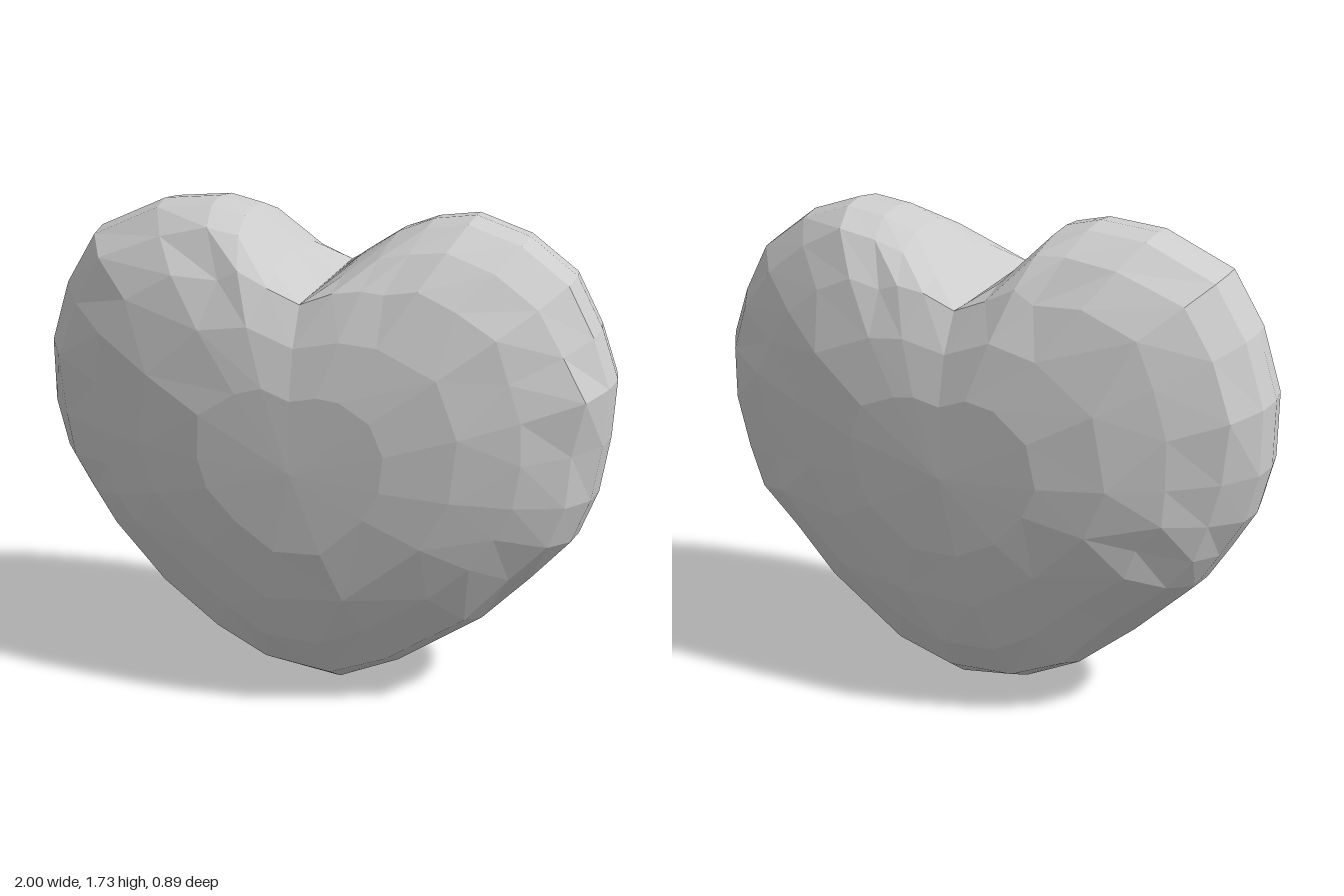
import * as THREE from 'three';

// Heart outline, counter-clockwise from the notch
const OUTLINE = [
  [0, 1.46], [-0.12, 1.56], [-0.26, 1.7], [-0.38, 1.73], [-0.58, 1.71], [-0.82, 1.6],
  [-0.93, 1.42], [-1, 1.2], [-1, 0.97], [-0.96, 0.8], [-0.88, 0.66], [-0.8, 0.53],
  [-0.59, 0.32], [-0.38, 0.14], [-0.18, 0.04], [0.08, 0], [0.3, 0.1], [0.6, 0.31],
  [0.77, 0.49], [0.9, 0.64], [0.96, 0.8], [0.99, 1], [1, 1.2], [0.94, 1.37],
  [0.85, 1.54], [0.69, 1.66], [0.51, 1.72], [0.37, 1.7], [0.25, 1.65], [0.12, 1.56],
];
// Rings from the rim to the middle: scale, depth, outline step
const LAYERS = [[1, 0, 1], [0.985, 0.1, 1], [0.91, 0.215, 1], [0.75, 0.315, 1], [0.55, 0.39, 2], [0.33, 0.435, 2]];
const CENTRE_Y = 0.92;
const DEPTH = 0.445;

// Small repeatable unevenness for the hand-cut facets
const uneven = (a, b) => {
  const v = Math.sin(a * 12.99 + b * 78.23) * 43758.55;
  return (v - Math.floor(v) - 0.5) * 2;
};

function ring(layer, side) {
  const [scale, z, step] = LAYERS[layer];
  const points = [];
  for (let i = 0; i < OUTLINE.length; i += step) {
    const [x, y] = OUTLINE[i];
    // The notch keeps its full height further out than the rounded lobes
    const notch = y > 1.4 ? Math.max(0, 1 - Math.abs(x) / 0.35) : 0;
    let s = scale + (Math.min(1, scale / 0.72) - scale) * notch;
    if (layer > 1 && notch === 0) s += 0.018 * uneven(i + 40 * side, layer);
    points.push(new THREE.Vector3(x * s, CENTRE_Y + (y - CENTRE_Y) * s, z * side));
  }
  return points;
}

// One faceted half, front (side = 1) or back (side = -1)
function heartHalf(side) {
  const positions = [];
  const tri = (a, b, c) => {
    for (const p of side > 0 ? [a, b, c] : [a, c, b]) positions.push(p.x, p.y, p.z);
  };
  const rings = LAYERS.map((_, k) => ring(k, side));
  for (let k = 0; k < rings.length - 1; k++) {
    const outer = rings[k], inner = rings[k + 1];
    const ratio = outer.length / inner.length;
    for (let j = 0; j < inner.length; j++) {
      const a = inner[j], b = inner[(j + 1) % inner.length];
      const o = outer[j * ratio], p = outer[(j * ratio + 1) % outer.length];
      if (ratio === 2) {
        const q = outer[(j * ratio + 2) % outer.length];
        tri(o, p, a);
        tri(p, b, a);
        tri(p, q, b);
      } else if (j < inner.length / 2) {
        // Diagonals mirror across the heart
        tri(o, p, a);
        tri(p, b, a);
      } else {
        tri(o, p, b);
        tri(o, b, a);
      }
    }
  }
  // Shallow middle facets
  const last = rings[rings.length - 1];
  const middle = new THREE.Vector3(0, CENTRE_Y, DEPTH * side);
  last.forEach((p, i) => tri(p, last[(i + 1) % last.length], middle));

  const geometry = new THREE.BufferGeometry();
  geometry.setAttribute('position', new THREE.Float32BufferAttribute(positions, 3));
  geometry.computeVertexNormals();
  return geometry;
}

export function createModel() {
  const heart = new THREE.Group();
  heart.name = 'heart';
  const material = new THREE.MeshStandardMaterial({ color: 0xcccccc, flatShading: true });
  for (const [name, side] of [['heartFront', 1], ['heartBack', -1]]) {
    const mesh = new THREE.Mesh(heartHalf(side), material);
    mesh.name = name;
    heart.add(mesh);
  }
  return heart;
}
